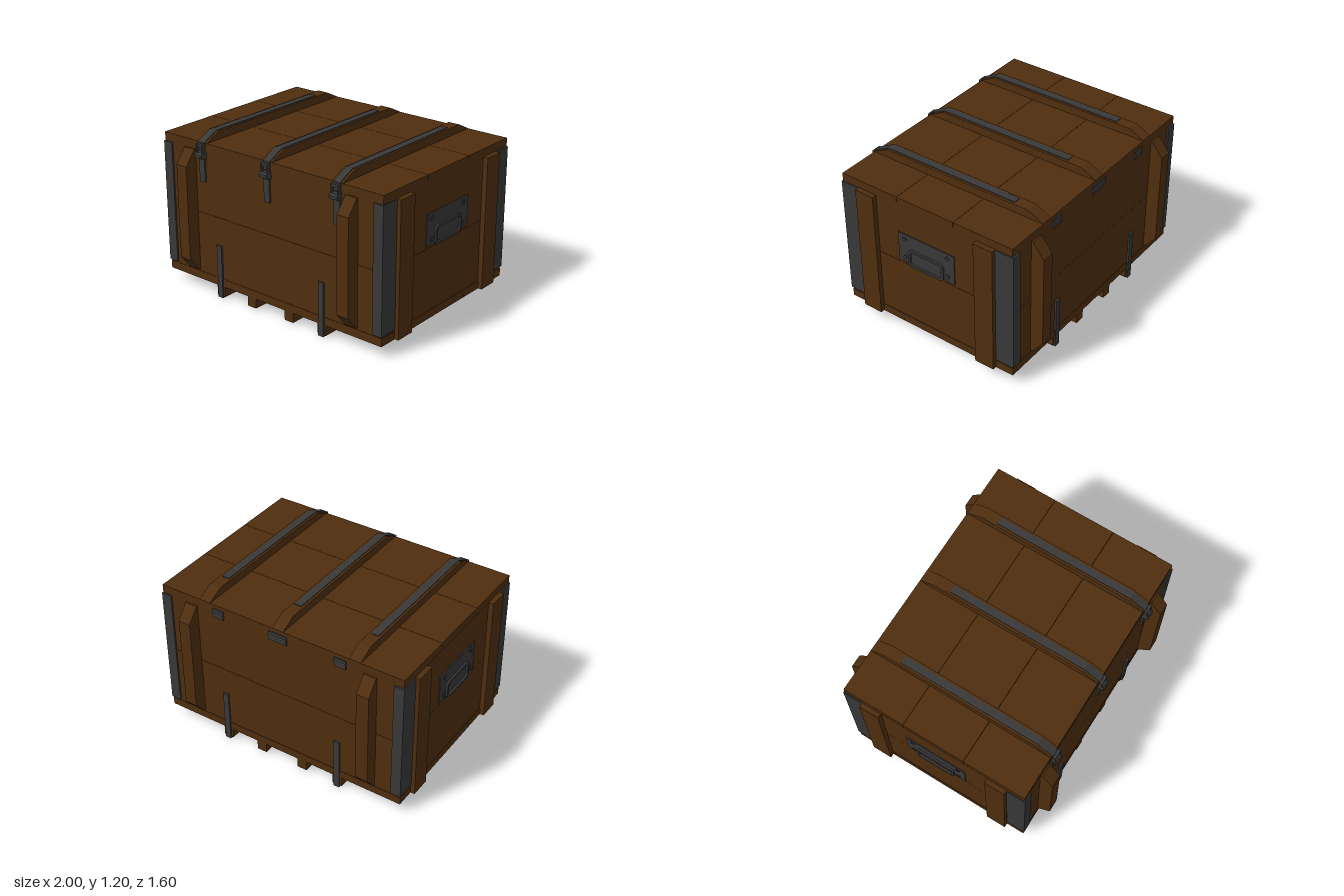
import * as THREE from 'three';

export function createModel() {
  const crate = new THREE.Group();
  crate.name = 'crate';
  const wood = new THREE.MeshStandardMaterial({ color: 0x4f2e0f });
  wood.name = 'brown wood';
  const metal = new THREE.MeshStandardMaterial({ color: 0x383838 });
  metal.name = 'dark metal';

  const add = (name, geometry, material) => {
    const mesh = new THREE.Mesh(geometry, material);
    mesh.name = name;
    crate.add(mesh);
    return mesh;
  };
  // Box given by its extents along each axis
  const box = (name, material, [x0, x1], [y0, y1], [z0, z1]) => {
    const mesh = add(name, new THREE.BoxGeometry(Math.abs(x1 - x0), y1 - y0, Math.abs(z1 - z0)), material);
    mesh.position.set((x0 + x1) / 2, (y0 + y1) / 2, (z0 + z1) / 2);
    return mesh;
  };
  // Profile of [z, y] points, extruded to a width centred on x
  const extrudeX = (shape, width, x) => {
    const g = new THREE.ExtrudeGeometry(shape, { depth: width, bevelEnabled: false, curveSegments: 5 });
    g.translate(0, 0, -width / 2);
    g.rotateY(-Math.PI / 2);
    g.translate(x, 0, 0);
    return g;
  };
  const profile = (name, material, points, width, x) =>
    add(name, extrudeX(new THREE.Shape(points.map((p) => new THREE.Vector2(...p))), width, x), material);
  const roundedRect = (path, w, h, r) => {
    const a = w / 2, b = h / 2;
    path.absarc(a - r, b - r, r, 0, Math.PI / 2);
    path.absarc(-a + r, b - r, r, Math.PI / 2, Math.PI);
    path.absarc(-a + r, -b + r, r, Math.PI, Math.PI * 1.5);
    path.absarc(a - r, -b + r, r, Math.PI * 1.5, Math.PI * 2);
    path.closePath();
    return path;
  };
  const sides = [-1, 1];

  // Lid and floor, three planks each
  const seams = [-0.706, -0.235, 0.235, 0.706];
  for (let i = 0; i < 3; i++) {
    const z = [seams[i] + 0.001, seams[i + 1] - 0.001];
    box('lidPlank', wood, [-0.967, 0.967], [1.078, 1.137], z);
    box('floorPlank', wood, [-0.967, 0.967], [0.085, 0.145], z);
  }

  // Walls, two planks each
  for (const [y0, y1] of [[0.145, 0.609], [0.611, 1.078]]) {
    for (const s of sides) {
      box('longWallPlank', wood, [-0.962, 0.962], [y0, y1], [s * 0.65, s * 0.702]);
      box('endWallPlank', wood, [s * 0.91, s * 0.963], [y0, y1], [-0.65, 0.65]);
    }
  }

  for (const sx of sides) {
    for (const sz of sides) {
      // Corner irons
      box('cornerIronLong', metal, [sx * 0.895, sx * 0.972], [0.157, 1.072], [sz * 0.7, sz * 0.714]);
      box('cornerIronEnd', metal, [sx * 0.96, sx * 0.972], [0.157, 1.072], [sz * 0.57, sz * 0.714]);
      // End battens
      box('endBatten', wood, [sx * 0.955, sx], [0.088, 1.074], [sz * 0.417, sz * 0.568]);
      // Chamfered upright battens
      profile('uprightBatten', wood,
        [[0.69, 0.155], [0.715, 0.157], [0.8, 0.26], [0.8, 0.965], [0.715, 1.072], [0.69, 1.072]]
          .map(([z, y]) => [z * sz, y]), 0.094, sx * 0.718);
    }

    // Carrying handle, plate and bolts
    box('handlePlate', metal, [sx * 0.96, sx * 0.97], [0.632, 0.86], [-0.236, 0.236]);
    const ring = roundedRect(new THREE.Shape(), 0.298, 0.14, 0.035);
    ring.holes.push(roundedRect(new THREE.Path(), 0.262, 0.104, 0.02));
    add('handle', extrudeX(ring, 0.014, sx * 0.977), metal).position.y = 0.688;
    for (const z of [-0.18, 0.18]) {
      for (const y of [0.672, 0.822]) {
        const bolt = add('handleBolt', new THREE.CylinderGeometry(0.017, 0.017, 0.012, 6), metal);
        bolt.rotation.z = Math.PI / 2;
        bolt.position.set(sx * 0.97, y, z);
      }
    }
  }

  // Lid battens with straps and latches
  for (const x of [-0.6, 0, 0.6]) {
    profile('lidBatten', wood,
      [[-0.705, 1.13], [0.705, 1.13], [0.705, 1.138], [0.588, 1.196], [-0.588, 1.196], [-0.705, 1.138]], 0.088, x);
    profile('lidStrap', metal,
      [[-0.47, 1.19], [0.585, 1.19], [0.7, 1.132], [0.7, 1.08], [0.714, 1.08], [0.714, 1.14], [0.59, 1.201], [-0.47, 1.201]],
      0.054, x);
    box('latchPlate', metal, [x - 0.025, x + 0.025], [0.848, 1.04], [0.7, 0.716]);
    profile('latchBody', metal,
      [[0.7, 1.02], [0.725, 1.02], [0.752, 1.035], [0.752, 1.055], [0.74, 1.07], [0.7, 1.07]], 0.066, x);
    for (const s of sides) {
      box('latchArm', metal, [x + s * 0.024, x + s * 0.034], [1.06, 1.122], [0.712, 0.736]);
    }
    box('latchHook', metal, [x - 0.034, x + 0.034], [1.11, 1.13], [0.708, 0.734]);
  }

  // Back hinges
  for (const [x, w] of [[-0.49, 0.09], [0, 0.145], [0.49, 0.09]]) {
    box('hingeLeaf', metal, [x - w / 2, x + w / 2], [1.042, 1.108], [-0.713, -0.7]);
    const pin = add('hingePin', new THREE.CylinderGeometry(0.009, 0.009, w, 10), metal);
    pin.rotation.z = Math.PI / 2;
    pin.position.set(x, 1.077, -0.711);
  }

  // Floor runners, the outer two wrapped in straps
  for (const x of [-0.465, -0.172, 0.172, 0.465]) {
    box('runner', wood, [x - 0.038, x + 0.038], [0.012, 0.085], [-0.705, 0.705]);
  }
  for (const x of [-0.465, 0.465]) {
    box('runnerStrap', metal, [x - 0.022, x + 0.022], [0, 0.013], [-0.716, 0.716]);
    for (const s of sides) {
      box('runnerStrapEnd', metal, [x - 0.022, x + 0.022], [0, 0.4], [s * 0.7, s * 0.716]);
    }
  }

  return crate;
}
